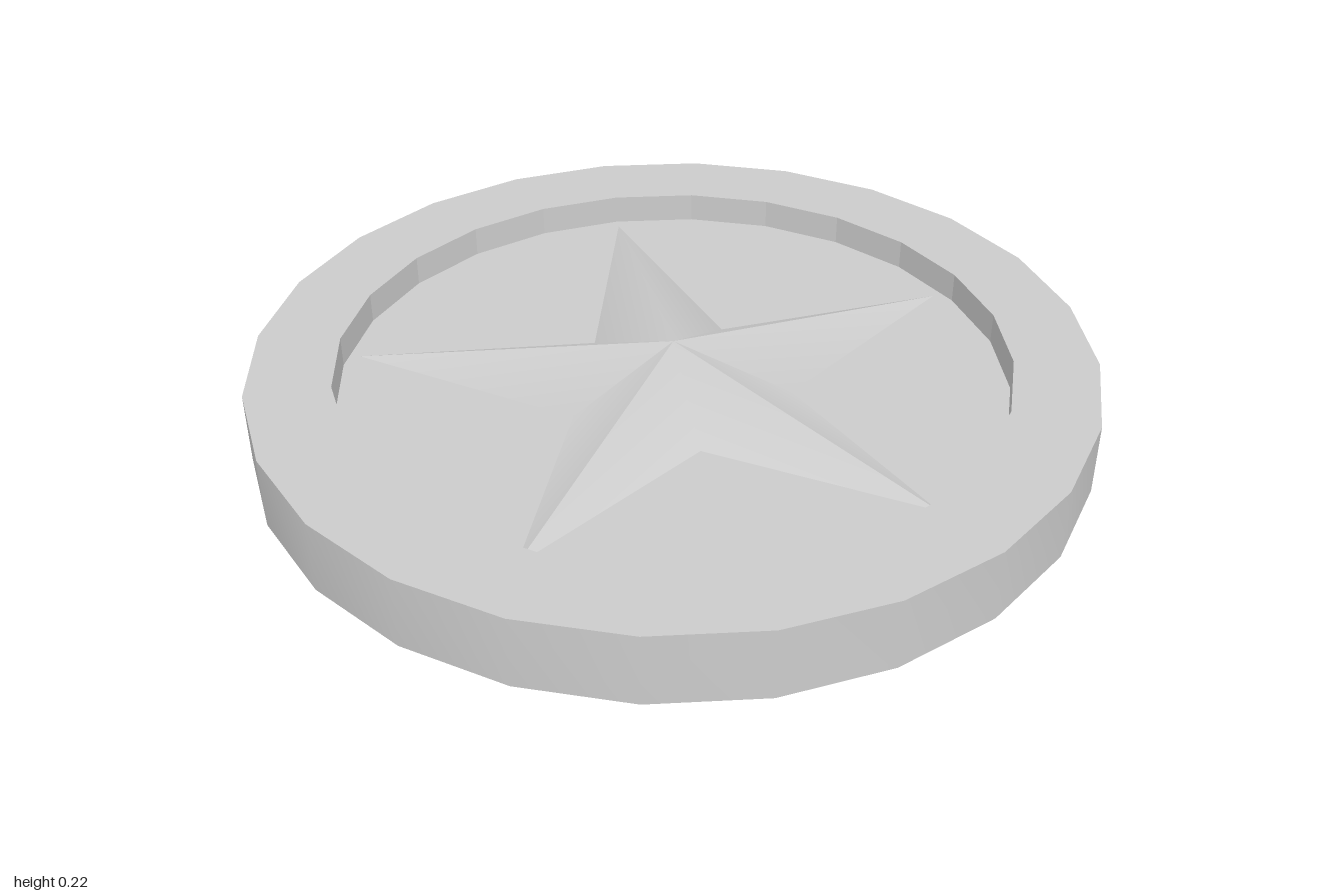
import * as THREE from 'three';
import { toCreasedNormals } from 'three/addons/utils/BufferGeometryUtils.js';

const SIDES = 24;
const MID = 0.1125;        // height of the mirror plane
const RIM_HALF = 0.0875;   // half thickness of the rim
const FLOOR_HALF = 0.0125; // half thickness of the recessed disc
const APEX_HALF = 0.1125;  // star apex above the mirror plane

const smooth = new THREE.MeshStandardMaterial({ color: 0xcccccc });
const faceted = new THREE.MeshStandardMaterial({ color: 0xcccccc, flatShading: true });

function addMesh(group, name, geometry, material) {
  const mesh = new THREE.Mesh(geometry, material);
  mesh.name = name;
  mesh.position.y = MID;
  group.add(mesh);
  return mesh;
}

function lathe(points) {
  return new THREE.LatheGeometry(points.map(([r, y]) => new THREE.Vector2(r, y)), SIDES);
}

// Five-pointed ridged star; side is 1 for the top, -1 for the underside
function starGeometry(side) {
  const outline = [];
  for (let i = 0; i < 10; i++) {
    const a = (i * Math.PI) / 5;
    const tip = i % 2 === 0;
    const r = tip ? 0.77 : 0.274;
    const shift = tip ? 0 : 0.036; // the notches sit slightly off centre
    outline.push([r * Math.sin(a), side * FLOOR_HALF, shift - r * Math.cos(a)]);
  }
  const apex = [0, side * APEX_HALF, 0];
  const positions = [];
  outline.forEach((p, i) => {
    const q = outline[(i + 1) % 10];
    positions.push(...apex, ...(side > 0 ? [...q, ...p] : [...p, ...q]));
  });
  const geometry = new THREE.BufferGeometry();
  geometry.setAttribute('position', new THREE.Float32BufferAttribute(positions, 3));
  // Sharp ridges, soft valleys
  return toCreasedNormals(geometry, 0.72);
}

export function createModel() {
  const model = new THREE.Group();
  model.name = 'starMedallion';

  // Rim: smooth outside with flat ring faces
  const rim = lathe([[0.8, -RIM_HALF], [1, -RIM_HALF], [1, RIM_HALF], [0.8, RIM_HALF]]);
  addMesh(model, 'rim', toCreasedNormals(rim, 0.6), smooth);

  // Faceted wall around the recess
  addMesh(model, 'recessWall', lathe([[0.8, RIM_HALF], [0.8, -RIM_HALF]]), faceted);

  // Thin disc in the middle of the rim
  addMesh(model, 'disc', new THREE.CylinderGeometry(0.8, 0.8, 2 * FLOOR_HALF, SIDES), faceted);

  // Mirrored stars on both faces
  addMesh(model, 'topStar', starGeometry(1), smooth);
  addMesh(model, 'bottomStar', starGeometry(-1), smooth);

  return model;
}
